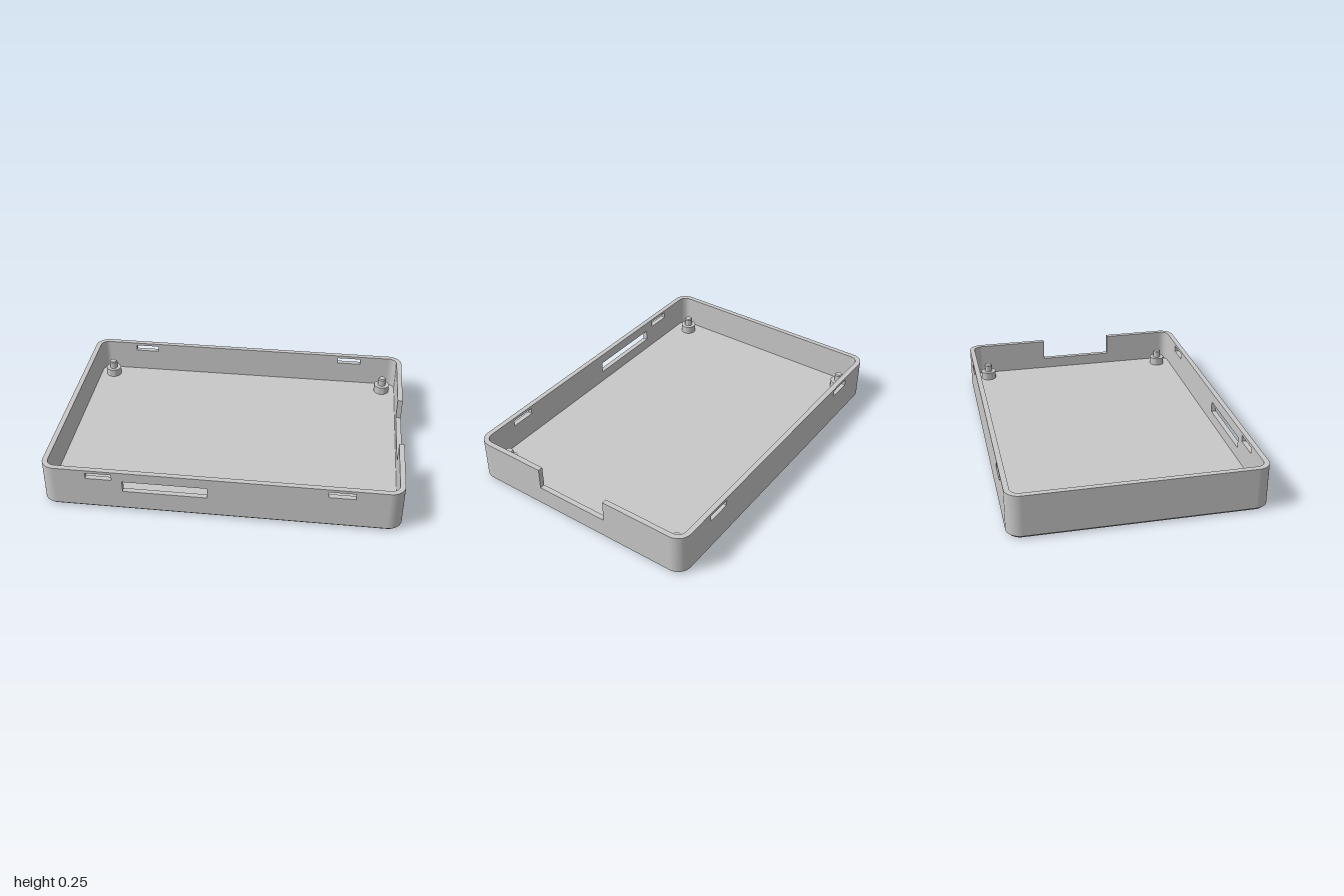
import * as THREE from 'three';
import { toCreasedNormals } from 'three/addons/utils/BufferGeometryUtils.js';

const HX = 1, HZ = 0.705, TOP = 0.254, WALL = 0.03, R = 0.08, CHAMFER = 0.016, FLOOR = 0.062;

// Rounded rectangle outline, centred on the origin
function roundedRect(hx, hz, r) {
  const s = new THREE.Shape();
  s.absarc(hx - r, hz - r, r, 0, Math.PI / 2);
  s.absarc(-hx + r, hz - r, r, Math.PI / 2, Math.PI);
  s.absarc(-hx + r, -hz + r, r, Math.PI, Math.PI * 1.5);
  s.absarc(hx - r, -hz + r, r, Math.PI * 1.5, Math.PI * 2);
  s.closePath();
  return s;
}

function rect(Type, x0, x1, y0, y1) {
  return new Type([[x0, y0], [x1, y0], [x1, y1], [x0, y1]].map(p => new THREE.Vector2(...p)));
}

function extrude(shape, depth) {
  return new THREE.ExtrudeGeometry(shape, { depth, bevelEnabled: false, curveSegments: 12 });
}

export function createModel() {
  const group = new THREE.Group();
  const grey = new THREE.MeshStandardMaterial({ color: 0xc8c8c8 });
  grey.name = 'grey plastic';

  function add(name, geometry, x = 0, y = 0, z = 0, turn = 0) {
    const mesh = new THREE.Mesh(toCreasedNormals(geometry, 0.5), grey);
    mesh.name = name;
    mesh.position.set(x, y, z);
    mesh.rotation.y = turn;
    group.add(mesh);
  }

  // Base slab, its lower outline drawn in to make the chamfer
  const base = extrude(roundedRect(HX, HZ, R), CHAMFER).rotateX(-Math.PI / 2);
  const pos = base.attributes.position;
  const k = 1 - CHAMFER / R;
  for (let i = 0; i < pos.count; i++) {
    if (pos.getY(i) > CHAMFER / 2) continue;
    const cx = Math.sign(pos.getX(i)) * (HX - R), cz = Math.sign(pos.getZ(i)) * (HZ - R);
    pos.setX(i, cx + (pos.getX(i) - cx) * k);
    pos.setZ(i, cz + (pos.getZ(i) - cz) * k);
  }
  add('base', base);

  // Inner floor
  const floor = extrude(roundedRect(HX - WALL, HZ - WALL, R - WALL), FLOOR - CHAMFER);
  add('floor', floor.rotateX(-Math.PI / 2), 0, CHAMFER, 0);

  // Long walls: clip slots in both, one port opening in the front
  for (const front of [true, false]) {
    const wall = rect(THREE.Shape, -HX + R, HX - R, CHAMFER, TOP);
    wall.holes.push(rect(THREE.Path, -0.742, -0.596, 0.201, 0.237));
    wall.holes.push(rect(THREE.Path, 0.594, 0.74, 0.201, 0.237));
    if (front) wall.holes.push(rect(THREE.Path, -0.537, -0.065, 0.13, 0.195));
    add(front ? 'frontWall' : 'backWall', extrude(wall, WALL), 0, 0, front ? HZ - WALL : -HZ);
  }

  // Short walls: the one on +x has a notch open at the top
  const e = HZ - R;
  const notched = new THREE.Shape([
    [-e, CHAMFER], [e, CHAMFER], [e, TOP], [0.197, TOP], [0.197, 0.129], [-0.247, 0.129], [-0.247, TOP], [-e, TOP],
  ].map(p => new THREE.Vector2(...p)));
  add('leftNotchedWall', extrude(notched, WALL), HX - WALL, 0, 0, Math.PI / 2);
  add('rightWall', extrude(rect(THREE.Shape, -e, e, CHAMFER, TOP), WALL), -HX, 0, 0, Math.PI / 2);

  // Rounded wall corners
  const arc = new THREE.Shape();
  arc.absarc(0, 0, R, 0, Math.PI / 2, false);
  arc.absarc(0, 0, R - WALL, Math.PI / 2, 0, true);
  arc.closePath();
  const corner = extrude(arc, TOP - CHAMFER).rotateX(-Math.PI / 2);
  [[1, -1], [-1, -1], [-1, 1], [1, 1]].forEach(([sx, sz], i) => {
    add('wallCorner', corner, sx * (HX - R), CHAMFER, sz * (HZ - R), i * Math.PI / 2);
  });

  // Standoffs with chamfered locating pins
  const profile = [
    [0.047, FLOOR], [0.047, 0.11], [0.024, 0.11], [0.024, 0.151], [0.019, 0.158], [0, 0.158],
  ].map(p => new THREE.Vector2(...p));
  const post = new THREE.LatheGeometry(profile, 32);
  for (const [x, z] of [[-0.887, -0.593], [0.887, -0.593], [-0.887, 0.576], [0.887, 0.587]]) {
    add('standoff', post, x, 0, z);
  }

  return group;
}
